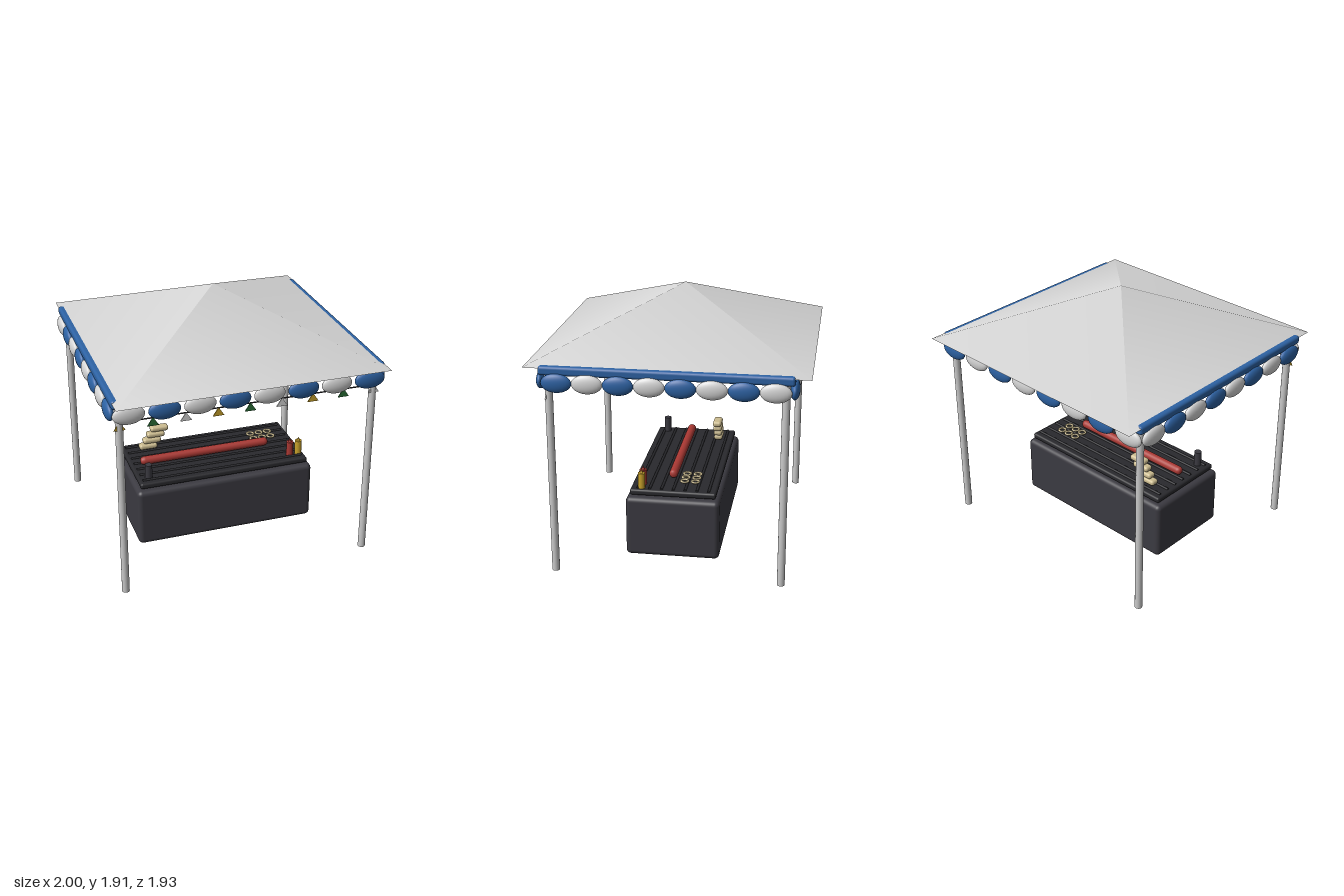
import * as THREE from 'three';
import { RoundedBoxGeometry } from 'three/addons/geometries/RoundedBoxGeometry.js';

const mat = (name, color) => {
  const m = new THREE.MeshStandardMaterial({ color });
  m.name = name;
  return m;
};

export function createModel() {
  const white = mat('white canvas', 0xd6d6d6);
  const metal = mat('pole grey', 0xcacaca);
  const blue = mat('blue canvas', 0x2d62a3);
  const charcoal = mat('charcoal', 0x3b3a41);
  const iron = mat('dark iron', 0x29292d);
  const red = mat('red', 0xa93833);
  const yellow = mat('mustard yellow', 0xc9a22b);
  const green = mat('green', 0x2b7038);
  const tan = mat('bread tan', 0xcdbd91);

  const model = new THREE.Group();
  model.name = 'foodStall';
  const group = (name) => {
    const g = new THREE.Group();
    g.name = name;
    model.add(g);
    return g;
  };
  const add = (parent, name, geo, material, x = 0, y = 0, z = 0) => {
    const m = new THREE.Mesh(geo, material);
    m.name = name;
    m.position.set(x, y, z);
    parent.add(m);
    return m;
  };

  // Canopy: four-sided smooth roof over a rounded blue frame
  const canopy = group('canopy');
  const roof = new THREE.ConeGeometry(0.966 * Math.SQRT2, 0.396, 4).rotateY(Math.PI / 4);
  add(canopy, 'roof', roof, white, 0, 1.713, 0);
  add(canopy, 'canopyFrame', new RoundedBoxGeometry(1.94, 0.064, 1.72, 3, 0.02), blue, 0, 1.497, 0);

  // Scalloped valance, alternating colours on all four sides
  const valance = group('valance');
  const ball = new THREE.SphereGeometry(1, 24, 16);
  for (const side of [-1, 1]) {
    for (let i = 0; i < 8; i++) {
      const a = add(valance, 'scallop', ball, i % 2 ? blue : white, (i - 3.5) * 0.245, 1.417, side * 0.855);
      a.scale.set(0.112, 0.068, 0.033);
      const b = add(valance, 'scallop', ball, i % 2 ? blue : white, side * 0.967, 1.417, (i - 3.5) * 0.21);
      b.scale.set(0.033, 0.067, 0.106);
    }
  }

  // Corner poles
  const poles = group('poles');
  const pole = new THREE.CylinderGeometry(0.027, 0.027, 1.48, 20);
  for (const x of [-0.91, 0.91]) {
    for (const z of [-0.8, 0.8]) add(poles, 'pole', pole, metal, x, 0.74, z);
  }

  // Bunting across the front
  const bunting = group('bunting');
  const string = new THREE.CylinderGeometry(0.005, 0.005, 1.82, 8).rotateZ(Math.PI / 2);
  add(bunting, 'string', string, iron, 0, 1.35, 0.815);
  const triangle = new THREE.Shape([
    new THREE.Vector2(-0.04, -0.058), new THREE.Vector2(0.04, -0.058), new THREE.Vector2(0, 0.004),
  ]);
  const flag = new THREE.ExtrudeGeometry(triangle, { depth: 0.008, bevelEnabled: false });
  for (let i = 0; i < 9; i++) {
    add(bunting, 'flag', flag, [yellow, green, white][i % 3], (i - 4) * 0.2278, 1.35, 0.812);
  }

  // Grill body, top plate and bars
  const grill = group('grill');
  add(grill, 'grillBody', new RoundedBoxGeometry(1.365, 0.445, 0.675, 4, 0.035), charcoal, 0, 0.26, 0);
  add(grill, 'grillTop', new RoundedBoxGeometry(1.305, 0.044, 0.62, 3, 0.016), iron, 0, 0.516, 0);
  const bar = new THREE.CylinderGeometry(0.01, 0.01, 1.25, 10).rotateZ(Math.PI / 2);
  for (let i = -3; i <= 3; i++) add(grill, 'grillBar', bar, iron, 0, 0.539, i * 0.085);

  // Long sausage with softly rounded ends
  const food = group('food');
  const profile = [[0, -0.505], [0.015, -0.504], [0.025, -0.497], [0.031, -0.483], [0.032, -0.47],
    [0.032, 0.47], [0.031, 0.483], [0.025, 0.497], [0.015, 0.504], [0, 0.505]]
    .map(([r, y]) => new THREE.Vector2(r, y));
  const sausage = new THREE.LatheGeometry(profile, 24).rotateZ(Math.PI / 2);
  add(food, 'sausage', sausage, red, -0.075, 0.574, 0.03);

  // Stepped stack of buns
  const bun = new RoundedBoxGeometry(0.14, 0.043, 0.066, 4, 0.019);
  for (let i = 0; i < 4; i++) add(food, 'bun', bun, tan, -0.46 + i * 0.03, 0.566 + i * 0.0465, -0.2);

  // Fried rings in two rows
  const ring = new THREE.TorusGeometry(0.026, 0.008, 8, 20).rotateX(Math.PI / 2);
  for (let i = 0; i < 3; i++) {
    for (let j = 0; j < 2; j++) add(food, 'friedRing', ring, tan, 0.355 + i * 0.07, 0.56, -0.065 - j * 0.078);
  }

  // Sauce bottles and the dark shaker
  const condiments = group('condiments');
  const bottle = new THREE.CylinderGeometry(0.026, 0.026, 0.115, 20);
  const nozzle = new THREE.ConeGeometry(0.013, 0.034, 16);
  for (const [x, m] of [[0.54, red], [0.608, yellow]]) {
    add(condiments, 'sauceBottle', bottle, m, x, 0.595, 0.23);
    add(condiments, 'bottleNozzle', nozzle, m, x, 0.667, 0.23);
  }
  add(condiments, 'shaker', new THREE.CylinderGeometry(0.027, 0.027, 0.115, 20), charcoal, -0.572, 0.595, 0.23);

  return model;
}
